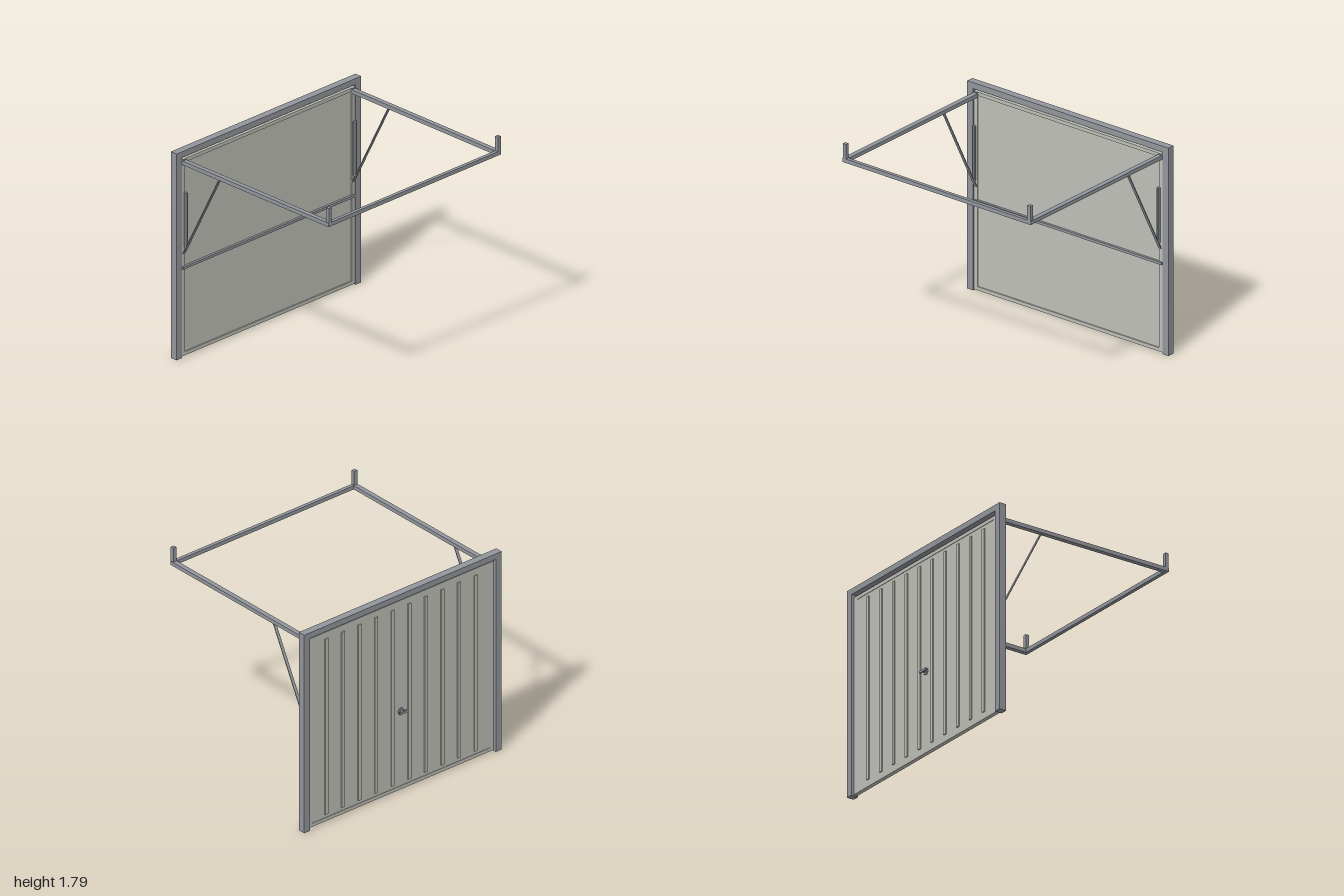
import * as THREE from 'three';

export function createModel() {
  const model = new THREE.Group();
  model.name = 'garageDoor';
  const steel = new THREE.MeshStandardMaterial({ color: 0x92969c });
  steel.name = 'grey steel';
  const door = new THREE.MeshStandardMaterial({ color: 0xbfbfb8 });
  door.name = 'pale door paint';
  steel.flatShading = true;

  const add = (name, geometry, material) => {
    const mesh = new THREE.Mesh(geometry, material);
    mesh.name = name;
    model.add(mesh);
    return mesh;
  };
  // Box given by its lower and upper limits on each axis
  const block = (name, material, x0, x1, y0, y1, z0, z1) => {
    const mesh = add(name, new THREE.BoxGeometry(x1 - x0, y1 - y0, z1 - z0), material);
    mesh.position.set((x0 + x1) / 2, (y0 + y1) / 2, (z0 + z1) / 2);
    return mesh;
  };

  // Fixed outer frame
  block('header', steel, -0.94, 0.94, 1.7, 1.75, -0.823, -0.76);
  for (const s of [-1, 1]) {
    block('framePost', steel, s * 0.97 - 0.03, s * 0.97 + 0.03, 0, 1.75, -0.823, -0.76);
  }

  // Door leaf: rim around a thin sheet
  const rect = (path, x, y0, y1) => {
    path.moveTo(-x, y0);
    path.lineTo(x, y0);
    path.lineTo(x, y1);
    path.lineTo(-x, y1);
    path.closePath();
    return path;
  };
  const rim = rect(new THREE.Shape(), 0.937, 0.01, 1.68);
  rim.holes.push(rect(new THREE.Path(), 0.903, 0.04, 1.65));
  add('doorRim', new THREE.ExtrudeGeometry(rim, { depth: 0.035, bevelEnabled: false }), door)
    .position.z = -0.8;
  block('doorSheet', door, -0.905, 0.905, 0.038, 1.652, -0.796, -0.775);

  // Raised vertical ribs on the outer side
  for (let i = 0; i < 10; i++) {
    const x = (i - 4.5) * 0.168;
    block('doorRib', door, x - 0.015, x + 0.015, 0.07, 1.62, -0.806, -0.795);
  }

  // Stiffening bar across the inner side
  block('crossBar', steel, -0.935, 0.935, 0.748, 0.77, -0.778, -0.755);

  // Handle: round plate, stem and turning grip
  const disc = (name, r, z0, z1) => {
    const mesh = add(name, new THREE.CylinderGeometry(r, r, z1 - z0, 16), steel);
    mesh.rotation.x = Math.PI / 2;
    mesh.position.set(0, 0.7, (z0 + z1) / 2);
  };
  disc('handlePlate', 0.028, -0.804, -0.795);
  disc('handleStem', 0.01, -0.825, -0.8);
  block('handleGrip', steel, -0.04, 0.04, 0.69, 0.71, -0.833, -0.822);

  // Overhead track, hangers, struts and springs
  block('frontTrackBar', steel, -0.897, 0.897, 1.637, 1.67, 0.8, 0.83);
  for (const s of [-1, 1]) {
    const x = s * 0.916;
    block('sideTrack', steel, x - 0.02, x + 0.02, 1.637, 1.67, -0.765, 0.83);
    block('trackHanger', steel, x - 0.016, x + 0.016, 1.67, 1.793, 0.8, 0.83);
    block('trackBracket', steel, x - 0.014, x + 0.014, 1.67, 1.68, -0.77, -0.757);

    const low = new THREE.Vector3(x, 0.882, -0.762);
    const high = new THREE.Vector3(x, 1.64, -0.37);
    const strut = add('strut', new THREE.BoxGeometry(0.026, low.distanceTo(high), 0.007), steel);
    strut.position.copy(low).lerp(high, 0.5);
    strut.rotation.x = Math.atan2(high.z - low.z, high.y - low.y);

    add('spring', new THREE.CylinderGeometry(0.015, 0.015, 0.46, 8), steel)
      .position.set(x, 1.17, -0.742);
  }
  return model;
}
